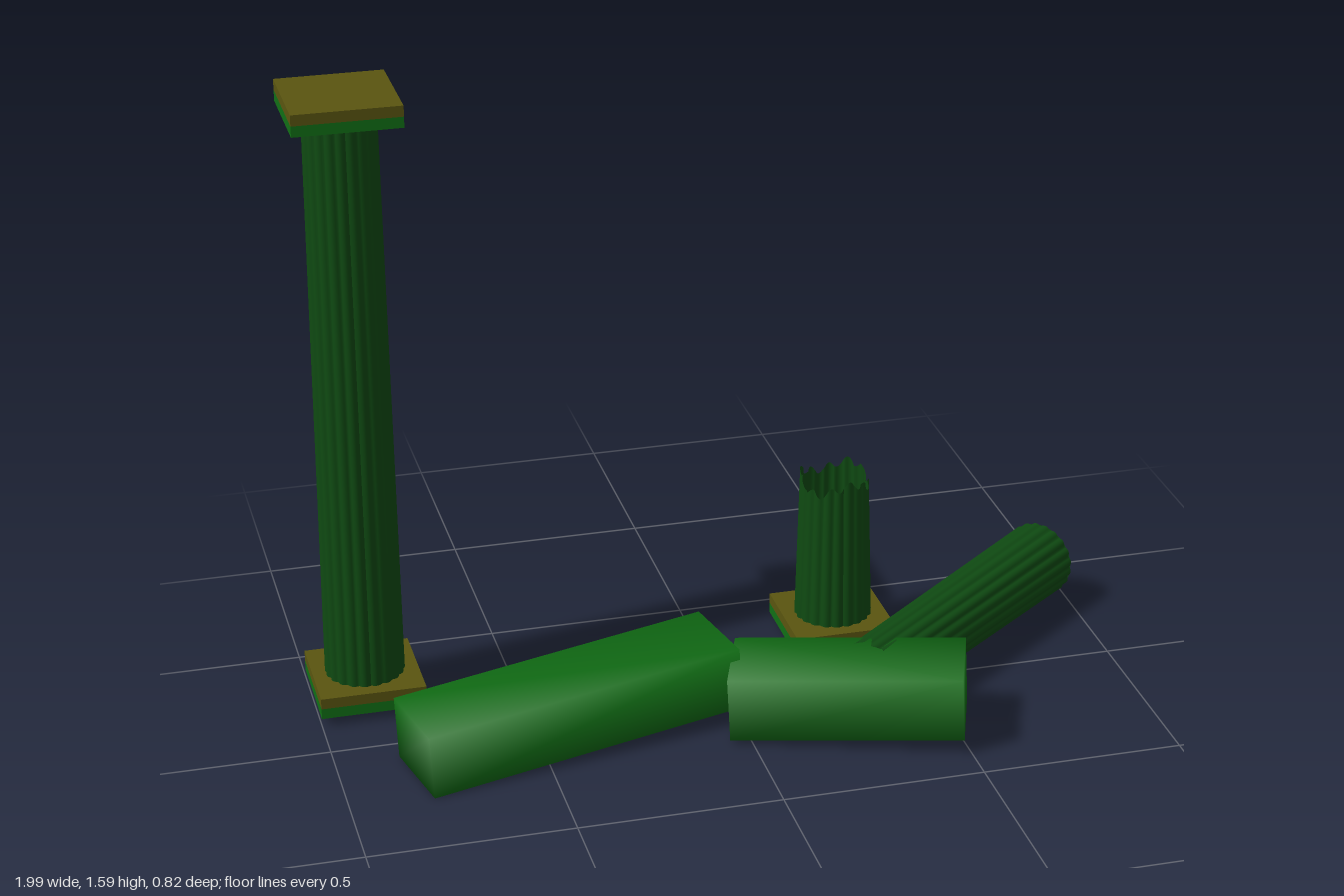
import * as THREE from 'three';
import { mergeVertices } from 'three/addons/utils/BufferGeometryUtils.js';

const stone = new THREE.MeshStandardMaterial({ color: 0x0f4a12, side: THREE.DoubleSide });
const block = new THREE.MeshStandardMaterial({ color: 0x117015 });
const worn = new THREE.MeshStandardMaterial({ color: 0x5a5510 });
const FLUTES = 20;

// Jagged depth (0..1) of a broken rim at angle a
const jag = a => 0.5 + 0.28 * Math.sin(3 * a + 0.6) + 0.22 * Math.sin(11 * a + 2);

// Scalloped radius factor at angle a
const flute = a => 0.94 + 0.06 * Math.abs(Math.sin(a * FLUTES / 2));

// Fluted, tapering open shaft standing on y = 0, optionally broken at the top
function shaft(rBottom, rTop, height, broken = 0) {
  const geo = new THREE.CylinderGeometry(rTop, rBottom, height, FLUTES * 6, 1, true);
  geo.translate(0, height / 2, 0);
  const p = geo.attributes.position;
  for (let i = 0; i < p.count; i++) {
    const a = Math.atan2(p.getZ(i), p.getX(i));
    const k = flute(a);
    const y = p.getY(i);
    p.setXYZ(i, p.getX(i) * k, y > height / 2 ? y - broken * jag(a) : y, p.getZ(i) * k);
  }
  geo.computeVertexNormals();
  return geo;
}

function add(parent, name, geo, mat, x = 0, y = 0, z = 0) {
  const mesh = new THREE.Mesh(geo, mat);
  mesh.name = name;
  mesh.position.set(x, y, z);
  parent.add(mesh);
  return mesh;
}

// Square plate with a worn upper half
function plate(parent, name, y) {
  const g = new THREE.Group();
  g.name = name;
  const geo = new THREE.BoxGeometry(0.262, 0.027, 0.262);
  add(g, 'plateLower', geo, block, 0, y + 0.0135, 0);
  add(g, 'plateUpper', geo, worn, 0, y + 0.0405, 0);
  parent.add(g);
}

// Long block with soft shading, laid from point a to point b
function beam(parent, name, a, b) {
  const from = new THREE.Vector3(...a), to = new THREE.Vector3(...b);
  let geo = new THREE.BoxGeometry(0.224, 0.163, from.distanceTo(to));
  geo.deleteAttribute('normal');
  geo.deleteAttribute('uv');
  geo = mergeVertices(geo);
  geo.computeVertexNormals();
  const mesh = add(parent, name, geo, block);
  mesh.position.copy(from).lerp(to, 0.5);
  mesh.lookAt(to);
}

export function createModel() {
  const model = new THREE.Group();
  model.name = 'ruinedColumns';

  // Complete column
  const whole = new THREE.Group();
  whole.name = 'standingColumn';
  whole.position.set(-0.869, 0, -0.26);
  plate(whole, 'base', 0.027);
  add(whole, 'shaft', shaft(0.099, 0.089, 1.457), stone, 0, 0.082, 0);
  plate(whole, 'capital', 1.541);
  model.add(whole);

  // Broken stump
  const stump = new THREE.Group();
  stump.name = 'brokenColumn';
  stump.position.set(0.344, 0, -0.26);
  plate(stump, 'base', 0.027);
  add(stump, 'brokenShaft', shaft(0.099, 0.088, 0.4, 0.05), stone, 0, 0.082, 0);
  model.add(stump);

  // Fallen upper piece, lying with its broken end on the block
  const fallen = new THREE.Group();
  fallen.name = 'fallenColumn';
  fallen.position.set(0.932, 0.118, -0.338);
  fallen.lookAt(0.307, 0.118, 0.168);
  const geo = shaft(0.097, 0.088, 0.83, 0.06);
  geo.rotateX(Math.PI / 2);
  add(fallen, 'fallenShaft', geo, stone);
  add(fallen, 'shaftEnd', new THREE.CircleGeometry(0.094, 40), stone);
  model.add(fallen);

  // Fallen blocks
  beam(model, 'longBlock', [-0.824, 0.087, 0.173], [-0.024, 0.128, 0.005]);
  beam(model, 'shortBlock', [-0.02, 0.098, 0.106], [0.515, 0.125, 0.3]);

  return model;
}
